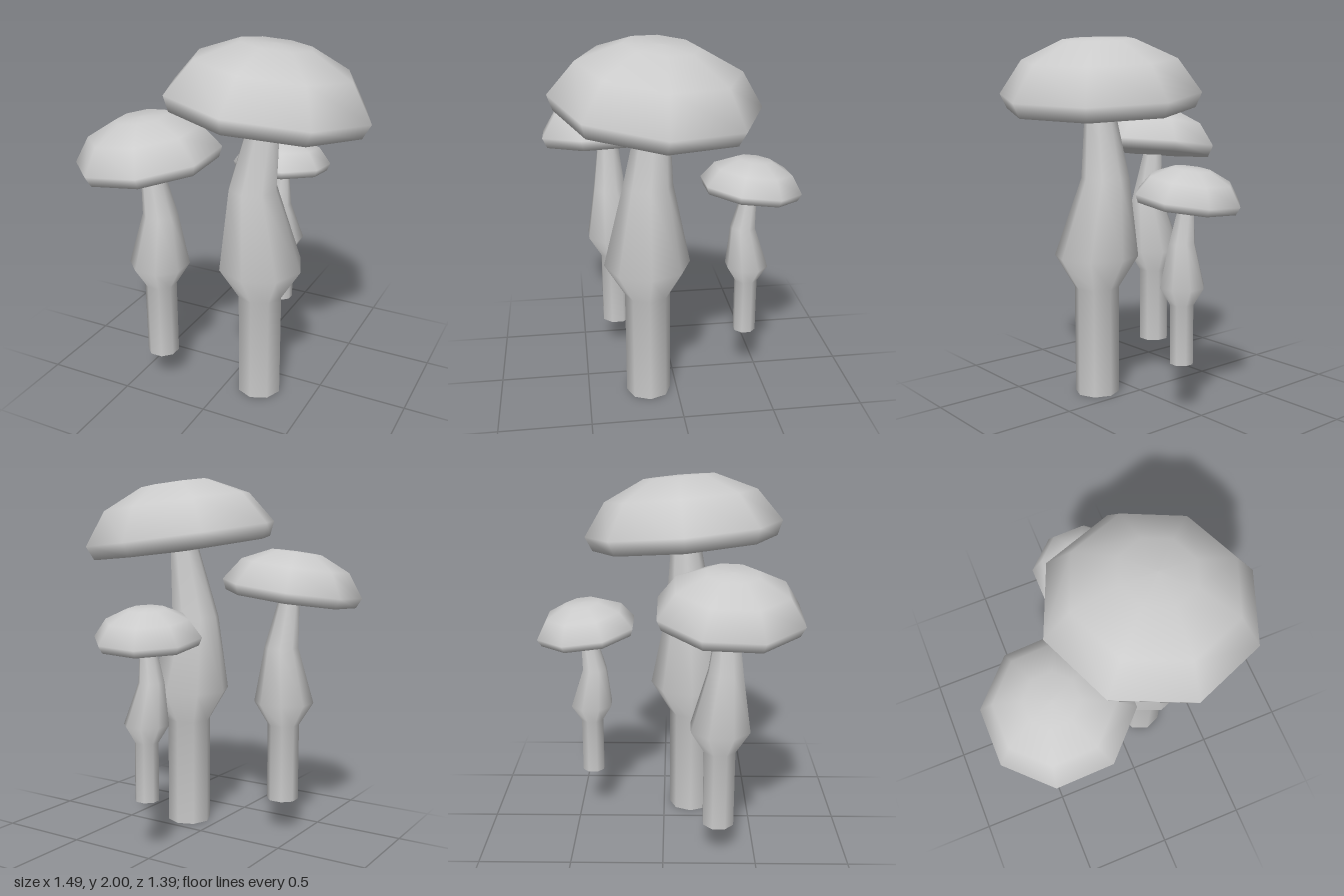
import * as THREE from 'three';

const SIDES = 8;
const material = new THREE.MeshStandardMaterial({ color: 0xcccccc, side: THREE.DoubleSide });

// Stem rings from the ground up: height, radius, sideways shift in x and z
const STEM = [
  [0, 0.125, 0, 0],
  [0.61, 0.125, 0, 0],
  [0.79, 0.235, 0, 0],
  [1.22, 0.135, -0.055, -0.015],
  [1.6, 0.083, 0, -0.04],
];

// Cap profile from the middle of the underside to the crown: radius, height
const CAP = [[0, -0.1], [0.515, -0.08], [0.55, 0], [0.422, 0.18], [0.195, 0.285], [0, 0.292]];

function lathe(points) {
  return new THREE.LatheGeometry(points.map(([r, y]) => new THREE.Vector2(r, y)), SIDES);
}

// Open eight-sided stem whose upper rings bend off the axis
function stemGeometry() {
  const geometry = lathe(STEM.map(([y, r]) => [r, y]));
  const pos = geometry.attributes.position;
  for (let i = 0; i < pos.count; i++) {
    const [, , dx, dz] = STEM[i % STEM.length];
    pos.setX(i, pos.getX(i) + dx);
    pos.setZ(i, pos.getZ(i) + dz);
  }
  return geometry;
}

export function createModel() {
  const model = new THREE.Group();
  model.name = 'mushroomCluster';

  const stemGeo = stemGeometry();
  const capGeo = lathe(CAP);
  const up = new THREE.Vector3(0, 1, 0);
  const capAxis = new THREE.Vector3(0.1, 1, -0.09).normalize();

  // The same mushroom, scaled and turned
  const mushrooms = [
    { name: 'largeMushroom', at: [0.185, 0, 0.16], scale: 1, turn: 0 },
    { name: 'mediumMushroom', at: [-0.367, 0.18, 0.3], scale: 0.714, turn: 157.5 },
    { name: 'smallMushroom', at: [0.069, 0.285, -0.416], scale: 0.519, turn: 67.5 },
  ];

  for (const { name, at, scale, turn } of mushrooms) {
    const mushroom = new THREE.Group();
    mushroom.name = name;

    const stem = new THREE.Mesh(stemGeo, material);
    stem.name = 'stem';

    // Cap leaning to one side
    const cap = new THREE.Mesh(capGeo, material);
    cap.name = 'cap';
    cap.position.set(0.01, 1.69, -0.055);
    cap.quaternion.setFromUnitVectors(up, capAxis);

    mushroom.add(stem, cap);
    mushroom.position.set(...at);
    mushroom.scale.setScalar(scale);
    mushroom.rotation.y = THREE.MathUtils.degToRad(turn);
    model.add(mushroom);
  }
  return model;
}
